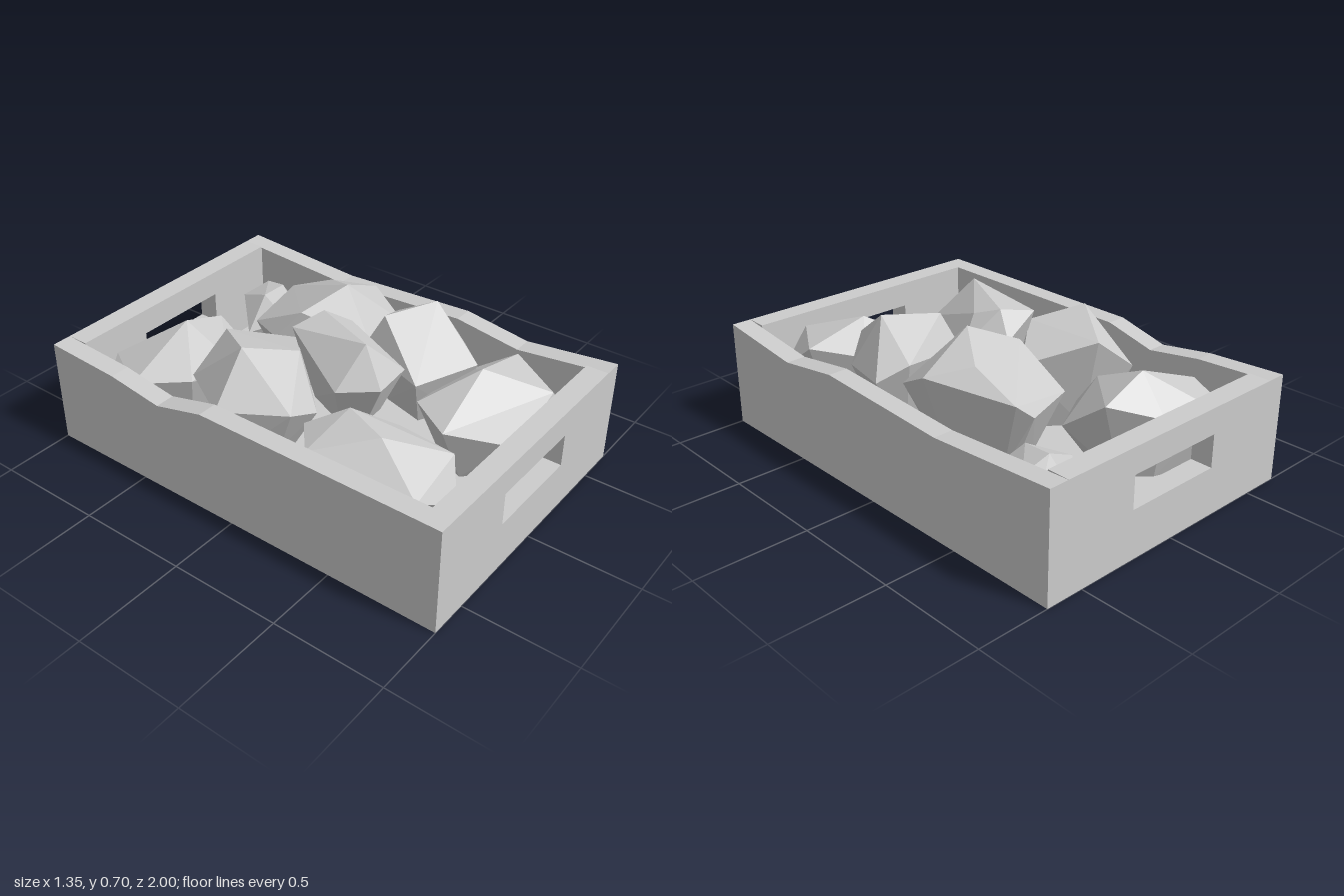
import * as THREE from 'three';
import { ConvexGeometry } from 'three/addons/geometries/ConvexGeometry.js';

const W = 0.675, L = 1, H = 0.485; // half width, half length, wall height
const T = 0.09, TZ = 0.1; // wall thickness at the sides and ends
const FLOOR = 0.08;

export function createModel() {
  const model = new THREE.Group();
  const mat = new THREE.MeshStandardMaterial({ color: 0xcccccc, flatShading: true });

  const add = (name, geometry, parent = model) => {
    const mesh = new THREE.Mesh(geometry, mat);
    mesh.name = name;
    parent.add(mesh);
    return mesh;
  };

  // Crate
  const crate = new THREE.Group();
  crate.name = 'crate';
  model.add(crate);

  const floor = new THREE.BoxGeometry(2 * (W - T), FLOOR, 2 * (L - TZ));
  add('floor', floor.translate(0, FLOOR / 2, 0), crate);

  // Side walls with worn, dipping rims: [z, y] from back to front
  const sideWall = (name, rim, x) => {
    const shape = new THREE.Shape([[-L, 0], [L, 0], ...rim.slice().reverse()].map(p => new THREE.Vector2(...p)));
    const geo = new THREE.ExtrudeGeometry(shape, { depth: T, bevelEnabled: false });
    add(name, geo.rotateY(-Math.PI / 2).translate(x, 0, 0), crate);
  };
  sideWall('leftWall', [[-L, H], [-0.4, 0.447], [0.26, 0.482], [0.57, 0.437], [L, H]], W);
  sideWall('rightWall', [[-L, H], [-0.64, 0.465], [-0.38, 0.425], [-0.14, H], [L, H]], -W + T);

  // End walls with a hand slot
  const rect = (C, x0, y0, x1, y1) =>
    new C([[x0, y0], [x1, y0], [x1, y1], [x0, y1]].map(p => new THREE.Vector2(...p)));
  for (const [name, z] of [['frontWall', L - TZ], ['backWall', -L]]) {
    const shape = rect(THREE.Shape, -W + T, 0, W - T, H);
    shape.holes.push(rect(THREE.Path, -0.233, 0.22, 0.233, 0.368));
    const geo = new THREE.ExtrudeGeometry(shape, { depth: TZ, bevelEnabled: false });
    add(name, geo.translate(0, 0, z), crate);
  }

  // Faceted lumps: upper points [x, y, z], closed by a shrunken copy of them at the base
  const lumps = new THREE.Group();
  lumps.name = 'lumps';
  model.add(lumps);
  const lump = (name, base, points) => {
    const top = points.map(p => new THREE.Vector3(...p));
    const centre = new THREE.Box3().setFromPoints(top).getCenter(new THREE.Vector3());
    const bottom = top.map(p => p.clone().lerp(centre, 0.4).setY(base));
    add(name, new ConvexGeometry([...top, ...bottom]), lumps);
  };

  lump('backRightLump', FLOOR, [
    [-0.42, 0.36, -0.89], [-0.58, 0.3, -0.8], [-0.58, 0.38, -0.63], [-0.17, 0.38, -0.81],
    [-0.22, 0.525, -0.64], [0.01, 0.44, -0.65], [0.02, 0.28, -0.43], [-0.14, 0.32, -0.36],
    [-0.22, 0.42, -0.4], [-0.41, 0.38, -0.44],
  ]);
  lump('backLeftLump', FLOOR, [
    [0.41, 0.3, -0.87], [0.55, 0.33, -0.83], [0.58, 0.24, -0.68], [0.52, 0.36, -0.71],
    [0.38, 0.28, -0.47], [0.3, 0.33, -0.5], [0.17, 0.28, -0.63], [0.36, 0.38, -0.69],
  ]);
  lump('middleRightLump', 0.15, [
    [-0.38, 0.64, -0.17], [-0.22, 0.57, -0.4], [-0.41, 0.42, -0.43], [-0.56, 0.42, -0.17],
    [-0.33, 0.36, 0.04], [-0.22, 0.34, 0.09], [-0.18, 0.58, -0.03], [0.03, 0.48, -0.2],
  ]);
  lump('middleLeftLump', 0.18, [
    [0.24, 0.685, -0.1], [0.05, 0.46, -0.47], [0.28, 0.44, -0.53], [0.35, 0.5, -0.5],
    [0.51, 0.55, -0.14], [0.46, 0.45, 0.05], [0.16, 0.5, 0.08], [0.04, 0.6, -0.2],
    [-0.02, 0.47, -0.3], [0.36, 0.6, -0.28],
  ]);
  lump('centreLump', 0.32, [
    [-0.13, 0.7, 0.27], [0.01, 0.68, -0.05], [0.06, 0.645, 0.06], [-0.14, 0.65, -0.1],
    [0.03, 0.56, -0.12], [0.16, 0.53, 0.02], [0.02, 0.54, 0.36], [-0.16, 0.53, 0.37],
    [-0.28, 0.53, 0.23],
  ]);
  lump('frontLeftUpperLump', 0.22, [
    [0.17, 0.65, 0.15], [0.39, 0.665, 0.27], [0.43, 0.52, 0.04], [0.56, 0.46, 0.1],
    [0.49, 0.44, 0.36], [0.3, 0.49, 0.54], [0.03, 0.47, 0.41], [0.12, 0.5, 0.08],
  ]);
  lump('frontRightLump', FLOOR, [
    [-0.33, 0.36, 0.11], [-0.5, 0.38, 0.25], [-0.51, 0.27, 0.48], [-0.44, 0.32, 0.74],
    [-0.24, 0.22, 0.8], [-0.13, 0.36, 0.71], [-0.08, 0.25, 0.65], [-0.08, 0.34, 0.42],
    [-0.23, 0.45, 0.27], [-0.32, 0.45, 0.49],
  ]);
  lump('frontLeftLowerLump', FLOOR, [
    [0.03, 0.4, 0.42], [-0.05, 0.36, 0.6], [0.15, 0.28, 0.83], [0.38, 0.33, 0.89],
    [0.55, 0.3, 0.8], [0.54, 0.45, 0.6], [0.24, 0.525, 0.6], [0.38, 0.44, 0.86],
    [0.35, 0.4, 0.45],
  ]);

  return model;
}
